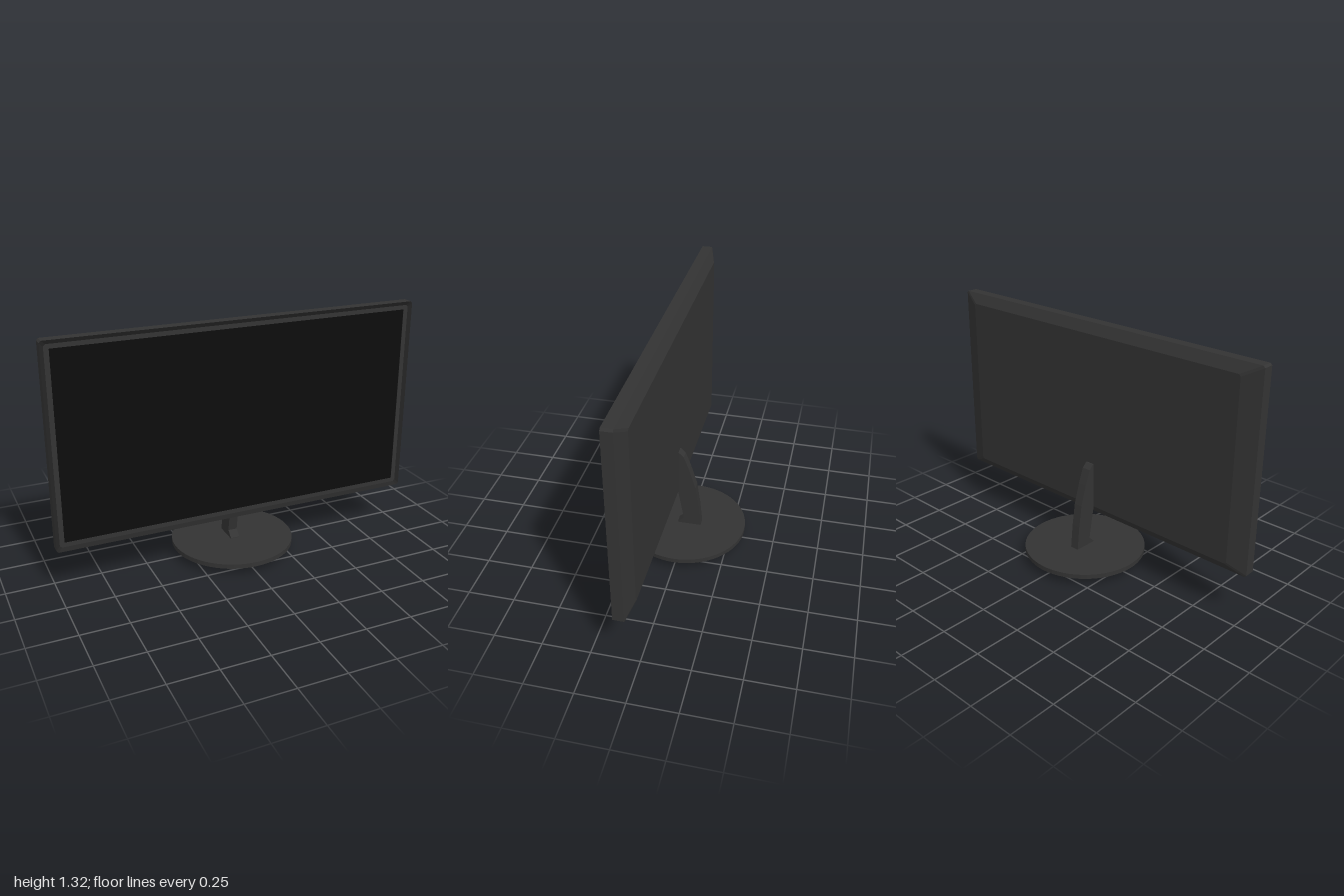
import * as THREE from 'three';

const mat = (color) => new THREE.MeshStandardMaterial({ color, flatShading: true });

// Rectangle outline with cut corners, counter-clockwise seen from the front
function ring(halfWidth, bottom, top, z, cut = 0.01) {
  const w = halfWidth, c = cut;
  return [
    [w - c, bottom], [w, bottom + c], [w, top - c], [w - c, top],
    [c - w, top], [-w, top - c], [-w, bottom + c], [c - w, bottom],
  ].map(([x, y]) => [x, y, z]);
}

// Skin over a row of rings, with an optional cap on the first one
function loft(rings, capBack) {
  const pos = [];
  const n = rings[0].length;
  for (let r = 0; r < rings.length - 1; r++) {
    for (let i = 0; i < n; i++) {
      const j = (i + 1) % n;
      const a = rings[r][i], b = rings[r][j], c = rings[r + 1][j], d = rings[r + 1][i];
      pos.push(...a, ...b, ...c, ...a, ...c, ...d);
    }
  }
  if (capBack) {
    for (let i = 1; i < n - 1; i++) pos.push(...rings[0][0], ...rings[0][i + 1], ...rings[0][i]);
  }
  const geo = new THREE.BufferGeometry();
  geo.setAttribute('position', new THREE.Float32BufferAttribute(pos, 3));
  geo.computeVertexNormals();
  return geo;
}

// Rounded slot in the shape plane, long in y
function slot(path, halfWidth, y0, y1) {
  path.absarc(0, y1 - halfWidth, halfWidth, 0, Math.PI, false);
  path.absarc(0, y0 + halfWidth, halfWidth, Math.PI, Math.PI * 2, false);
  path.closePath();
  return path;
}

export function createModel() {
  const model = new THREE.Group();
  const plastic = mat(0x333333);
  const add = (name, geo, material, parent = model) => {
    const mesh = new THREE.Mesh(geo, material);
    mesh.name = name;
    parent.add(mesh);
    return mesh;
  };

  // Display: bevelled back, straight sides, front rim sloping into a flat bezel
  const display = new THREE.Group();
  display.name = 'display';
  model.add(display);
  add('casing', loft([
    ring(0.9, 0.29, 1.264, 0.04),
    ring(1, 0.242, 1.318, 0.072),
    ring(1, 0.242, 1.318, 0.128),
  ], true), plastic, display);
  add('rim', loft([
    ring(1, 0.242, 1.318, 0.128),
    ring(0.98, 0.262, 1.298, 0.118),
  ]), mat(0x262626), display);
  add('bezel', loft([
    ring(0.98, 0.262, 1.298, 0.118),
    ring(0.955, 0.285, 1.275, 0.118, 0.001),
    ring(0.955, 0.285, 1.275, 0.115, 0.001),
  ]), plastic, display);
  add('screen', new THREE.PlaneGeometry(1.91, 0.99), mat(0x0d0d0d), display)
    .position.set(0, 0.78, 0.116);

  // Stand arm: side profile in (z, y), extruded across x
  const arm = new THREE.Shape([
    [0.045, 0.055], [0.045, 0.07], [0.01, 0.103], [0.045, 0.3], [0.045, 0.548],
    [0.035, 0.545], [0.01, 0.52], [-0.02, 0.44], [-0.055, 0.325], [-0.073, 0.2],
    [-0.086, 0.067], [-0.086, 0.055],
  ].map(([z, y]) => new THREE.Vector2(-z, y)));
  const armGeo = new THREE.ExtrudeGeometry(arm, { depth: 0.05, bevelEnabled: false });
  armGeo.translate(0, 0, -0.025).rotateY(Math.PI / 2);
  add('standArm', armGeo, plastic);

  // Base: round dish with a slanted underside
  const base = new THREE.Group();
  base.name = 'base';
  model.add(base);
  const sides = 64;
  const profile = [[0.26, 0], [0.333, 0.042], [0.333, 0.067], [0, 0.067]]
    .map(([x, y]) => new THREE.Vector2(x, y));
  add('baseDish', new THREE.LatheGeometry(profile, sides), plastic, base);

  // Underside with a slot for the arm fixing; shape y becomes z
  const underside = new THREE.Shape().absarc(0, 0, 0.26, 0, Math.PI * 2, false);
  underside.holes.push(slot(new THREE.Path(), 0.025, -0.085, 0.04));
  add('baseUnderside', new THREE.ShapeGeometry(underside, sides / 2).rotateX(Math.PI / 2), plastic, base);

  // Recess in the slot: open wall plus a closing plate
  const outline = slot(new THREE.Shape(), 0.025, -0.085, 0.04);
  const wallMat = mat(0x333333);
  wallMat.side = THREE.DoubleSide;
  const pts = outline.getPoints(10);
  const wall = [];
  pts.forEach((p, i) => {
    const q = pts[(i + 1) % pts.length];
    if (p.distanceTo(q) < 1e-6) return;
    wall.push(p.x, 0, p.y, q.x, 0, q.y, q.x, 0.015, q.y);
    wall.push(p.x, 0, p.y, q.x, 0.015, q.y, p.x, 0.015, p.y);
  });
  const wallGeo = new THREE.BufferGeometry();
  wallGeo.setAttribute('position', new THREE.Float32BufferAttribute(wall, 3));
  wallGeo.computeVertexNormals();
  add('slotWall', wallGeo, wallMat, base);
  add('slotPlate', new THREE.ShapeGeometry(outline, 10).rotateX(Math.PI / 2), plastic, base)
    .position.y = 0.015;

  return model;
}
